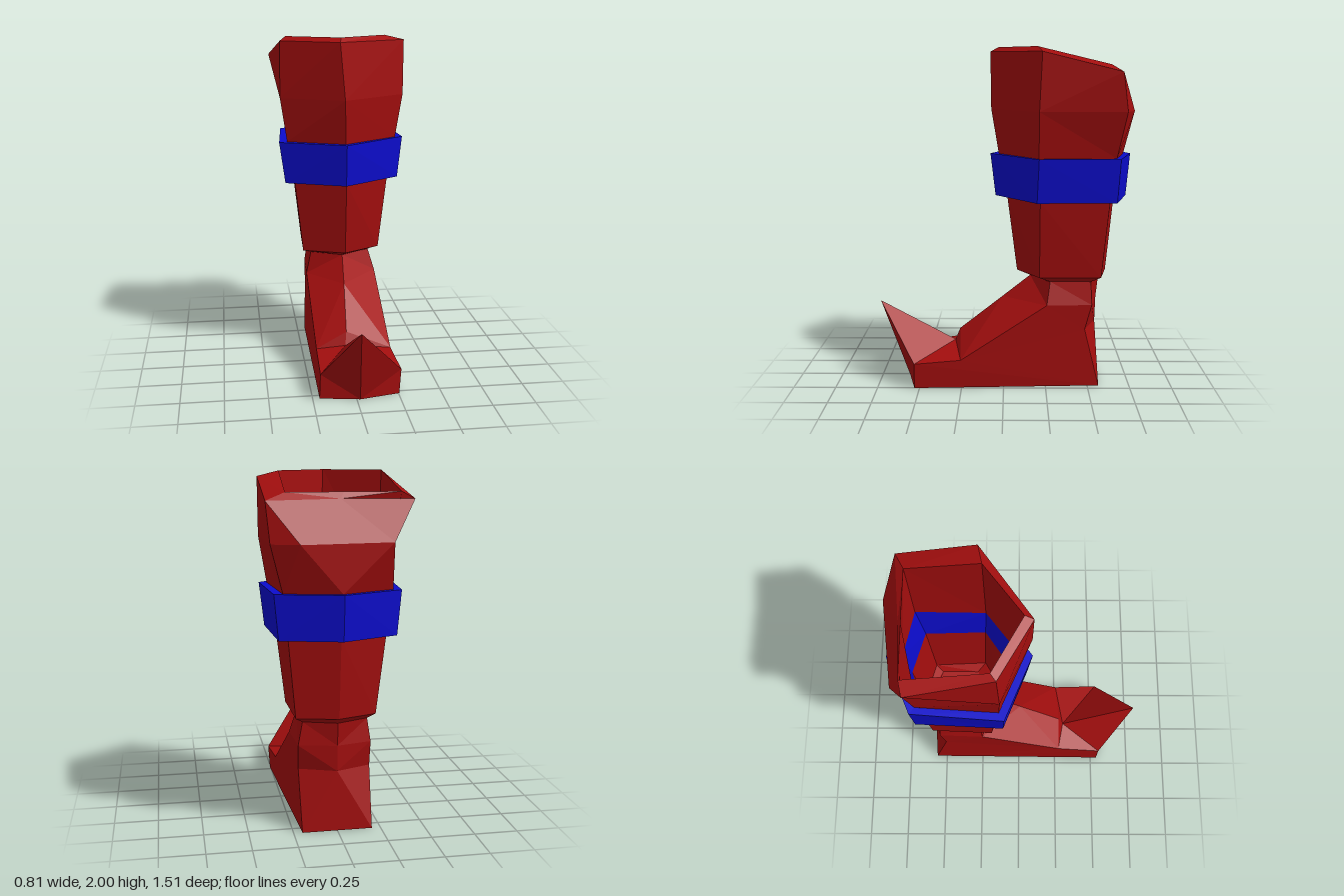
import * as THREE from 'three';

const red = new THREE.MeshStandardMaterial({ color: 0xa30e0e, flatShading: true });
const blue = new THREE.MeshStandardMaterial({ color: 0x0c0ccc, flatShading: true });

// Six-point ring. Order: front, +x front, +x back, back, -x back, -x front.
const ring = (y, ...xz) => xz.map(([x, z]) => new THREE.Vector3(x, y, z));
const ring3 = (...pts) => pts.map((p) => new THREE.Vector3(...p));

// Skins consecutive rings, splitting each quad along its shorter diagonal.
function loft(rings, { capStart = false, capEnd = false } = {}) {
  const pos = [];
  const tri = (a, b, c) => {
    const area = b.clone().sub(a).cross(c.clone().sub(a)).length();
    if (area > 1e-6) for (const p of [a, b, c]) pos.push(p.x, p.y, p.z);
  };
  for (let i = 0; i < rings.length - 1; i++) {
    const r = rings[i], s = rings[i + 1], n = r.length;
    for (let j = 0; j < n; j++) {
      const k = (j + 1) % n;
      const a = r[j], b = r[k], c = s[k], d = s[j];
      if (a.distanceTo(c) < b.distanceTo(d)) { tri(a, d, c); tri(a, c, b); }
      else { tri(a, d, b); tri(d, c, b); }
    }
  }
  const cap = (r, flip) => {
    const m = r.reduce((v, p) => v.add(p), new THREE.Vector3()).divideScalar(r.length);
    r.forEach((p, j) => {
      const q = r[(j + 1) % r.length];
      if (flip) tri(m, q, p); else tri(m, p, q);
    });
  };
  if (capStart) cap(rings[0], false);
  if (capEnd) cap(rings[rings.length - 1], true);
  const g = new THREE.BufferGeometry();
  g.setAttribute('position', new THREE.Float32BufferAttribute(pos, 3));
  g.computeVertexNormals();
  return g;
}

export function createModel() {
  const group = new THREE.Group();
  group.name = 'boot';
  const add = (name, geometry, material) => {
    const mesh = new THREE.Mesh(geometry, material);
    mesh.name = name;
    group.add(mesh);
  };

  // Rings shared by neighbouring parts
  const neck = ring(0.635, [0.01, -0.16], [0.19, -0.275], [0.19, -0.515], [0, -0.575], [-0.18, -0.5], [-0.18, -0.25]);
  const shaftTop = ring(1.125, [0.02, -0.02], [0.3, -0.21], [0.28, -0.61], [0, -0.66], [-0.27, -0.56], [-0.285, -0.13]);
  const cuffBase = ring(1.375, [0.01, 0.03], [0.345, -0.2], [0.31, -0.64], [0, -0.71], [-0.3, -0.58], [-0.33, -0.11]);
  const liningLow = ring(1.125, [0.01, -0.03], [0.26, -0.2], [0.25, -0.56], [0, -0.63], [-0.25, -0.54], [-0.285, -0.14]);
  const liningHigh = ring(1.375, [0, 0.02], [0.275, -0.19], [0.28, -0.6], [0, -0.66], [-0.28, -0.57], [-0.315, -0.13]);

  // Foot with upturned pointed toe
  const heelL = [0.2, 0, -0.567], heelM = [0, 0, -0.567], heelR = [-0.2, 0, -0.567];
  add('foot', loft([
    neck,
    ring3([0, 0.5, 0.008], [0.23, 0.5, -0.255], [0.215, 0.5, -0.52], [0, 0.5, -0.56], [-0.2, 0.5, -0.51], [-0.21, 0.5, -0.235]),
    ring3([-0.02, 0.29, 0.27], [0.25, 0.17, 0.255], [0.21, 0.35, -0.48], [0, 0.35, -0.555], [-0.2, 0.35, -0.48], [-0.2, 0.19, 0.27]),
    ring3([-0.03, 0.215, 0.3], [0.25, 0.17, 0.255], heelL, heelM, heelR, [-0.2, 0.19, 0.27]),
    ring3([0, 0.47, 0.755], [0.265, 0.15, 0.53], heelL, heelM, heelR, [-0.205, 0.15, 0.545]),
    ring3([0.02, 0, 0.58], [0.255, 0, 0.53], heelL, heelM, heelR, [-0.21, 0, 0.54]),
  ], { capEnd: true }), red);

  // Shaft exterior
  add('shaft', loft([
    shaftTop,
    ring(0.67, [0.02, -0.08], [0.245, -0.21], [0.235, -0.57], [0, -0.615], [-0.22, -0.54], [-0.235, -0.17]),
    neck,
  ]), red);

  // Shaft interior with its floor
  add('shaftLining', loft([
    ring(0.636, [0.01, -0.17], [0.19, -0.265], [0.19, -0.49], [0, -0.56], [-0.18, -0.46], [-0.18, -0.25]),
    ring(0.68, [0.02, -0.09], [0.235, -0.215], [0.22, -0.53], [0, -0.59], [-0.21, -0.51], [-0.23, -0.18]),
    liningLow,
  ], { capStart: true }), red);

  // Strap band and its inner face
  add('band', loft([
    cuffBase,
    ring(1.377, [0.01, 0.08], [0.39, -0.2], [0.36, -0.66], [0, -0.753], [-0.34, -0.61], [-0.38, -0.08]),
    ring(1.125, [0.01, 0.05], [0.36, -0.19], [0.335, -0.645], [0, -0.73], [-0.32, -0.6], [-0.345, -0.09]),
    shaftTop,
  ]), blue);
  add('bandLining', loft([liningLow, liningHigh]), blue);

  // Flared cuff: inside, bevelled rim, bulging outside
  add('cuff', loft([
    liningHigh,
    ring3([-0.02, 2, 0.03], [0.27, 2, -0.19], [0.29, 1.9, -0.605], [-0.02, 1.9, -0.605], [-0.33, 1.9, -0.605], [-0.33, 2, -0.14]),
    ring3([-0.03, 1.975, 0.08], [0.395, 1.97, -0.215], [0.4, 1.86, -0.66], [0, 1.865, -0.625], [-0.41, 1.86, -0.59], [-0.365, 1.975, -0.11]),
    ring(1.64, [0, 0.075], [0.39, -0.2], [0.38, -0.69], [0.23, -0.745], [-0.28, -0.685], [-0.37, -0.1]),
    cuffBase,
  ]), red);

  return group;
}
